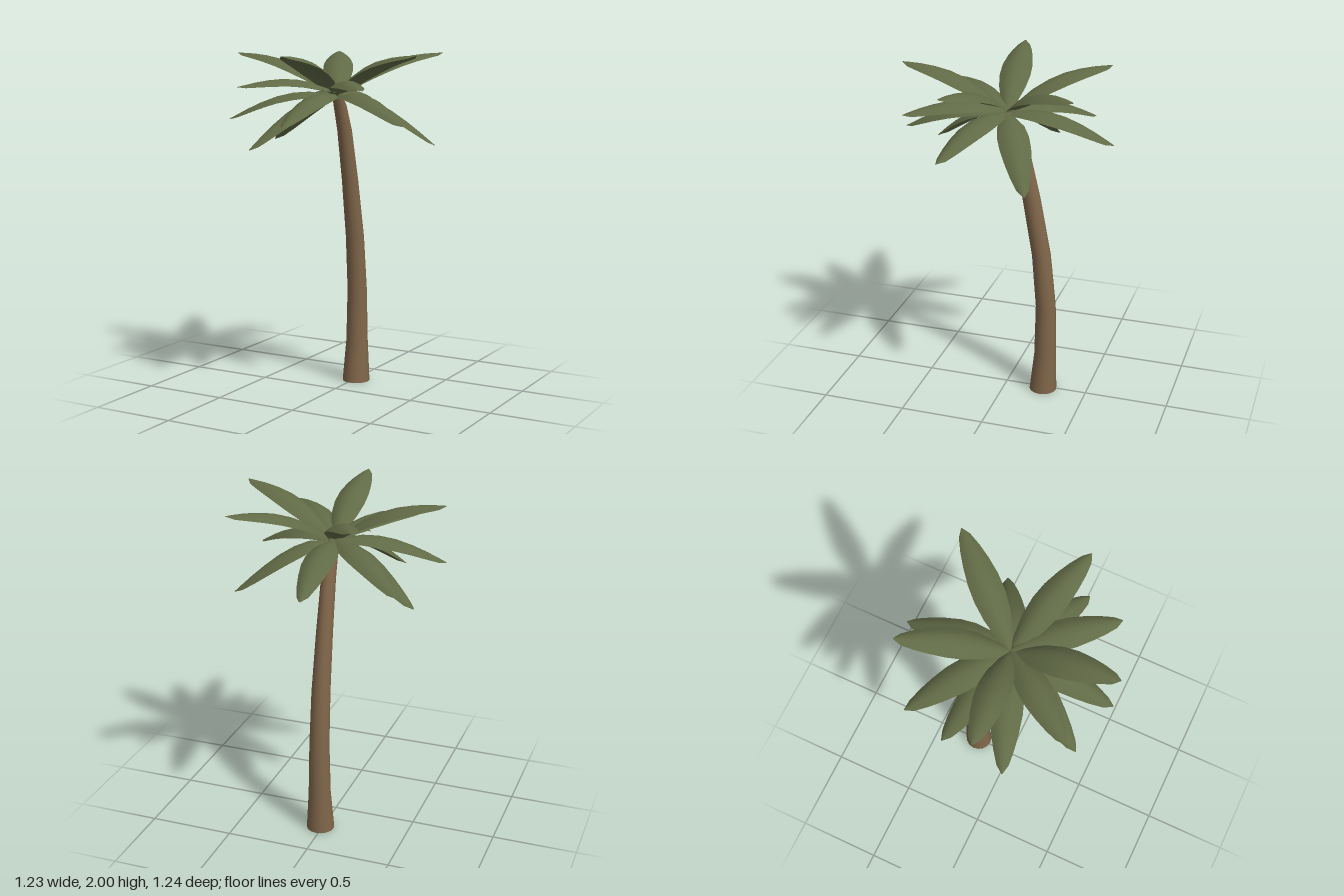
import * as THREE from 'three';
import { mergeVertices } from 'three/addons/utils/BufferGeometryUtils.js';

const bark = new THREE.MeshStandardMaterial({ color: 0x80664a });
bark.name = 'bark brown';
const green = new THREE.MeshStandardMaterial({ color: 0x616a46, side: THREE.DoubleSide });
green.name = 'frond green';

// Weld a deformed grid so its normals are smooth
function smooth(geometry) {
  geometry.deleteAttribute('uv');
  geometry.deleteAttribute('normal');
  const welded = mergeVertices(geometry, 1e-5);
  welded.computeVertexNormals();
  return welded;
}

// Trunk rings from top to bottom: [height, centre z, radius in x, radius in z]
const rings = [
  [1.76, 0.005, 0.03, 0.03],
  [1.7, -0.03, 0.037, 0.043],
  [1.55, -0.085, 0.042, 0.05],
  [1.25, -0.152, 0.048, 0.053],
  [0.9, -0.215, 0.055, 0.056],
  [0.57, -0.246, 0.059, 0.06],
  [0.25, -0.246, 0.066, 0.066],
  [0, -0.235, 0.083, 0.083],
];

function makeTrunk() {
  const sides = 16;
  const geo = new THREE.CylinderGeometry(1, 1, 1, sides, rings.length - 1, true);
  const pos = geo.attributes.position;
  for (let i = 0; i < pos.count; i++) {
    const [y, z, rx, rz] = rings[Math.floor(i / (sides + 1))];
    pos.setXYZ(i, 0.014 + pos.getX(i) * rx, y, z + pos.getZ(i) * rz);
  }
  const trunk = new THREE.Mesh(smooth(geo), bark);
  trunk.name = 'trunk';
  return trunk;
}

// Half width of a frond along its length
const outline = [
  [0, 0.012], [0.1, 0.042], [0.25, 0.077], [0.4, 0.09], [0.55, 0.088],
  [0.7, 0.074], [0.82, 0.056], [0.92, 0.033], [1, 0.003],
];

// An arched frond whose ridge follows a side profile of [reach, height], reach 0 to 1
function makeFrond(tipX, tipZ, profile) {
  const dx = tipX - 0.01, dz = tipZ;
  const length = Math.hypot(dx, dz);
  const ridge = new THREE.SplineCurve(profile.map(([r, y]) => new THREE.Vector2(r * length, y)));
  const across = 6;
  const geo = new THREE.PlaneGeometry(2, 1, across, outline.length - 1);
  const pos = geo.attributes.position;
  for (let i = 0; i < pos.count; i++) {
    const [t, half] = outline[Math.floor(i / (across + 1))];
    const s = pos.getX(i);
    const p = ridge.getPoint(t), tan = ridge.getTangent(t);
    const drop = 0.45 * half * s * s;
    pos.setXYZ(i, s * half, p.y - drop * tan.x, -(p.x + drop * tan.y));
  }
  const frond = new THREE.Mesh(smooth(geo), green);
  frond.rotation.y = Math.atan2(-dx, -dz);
  frond.position.x = 0.01;
  return frond;
}

// Tiers of fronds: side profile and the tips seen from above
const tiers = [
  {
    name: 'raisedFrond',
    profile: [[0, 1.76], [0.25, 1.88], [0.5, 1.955], [0.75, 1.99], [1, 2]],
    tips: [[-0.62, 0.08], [0.61, 0.19], [0.45, -0.5], [-0.275, -0.54], [0.015, 0.62]],
  },
  {
    name: 'levelFrond',
    profile: [[0, 1.78], [0.25, 1.835], [0.5, 1.86], [0.75, 1.85], [1, 1.82]],
    tips: [[-0.36, 0.485], [0.405, 0.475]],
  },
  {
    name: 'droopingFrond',
    profile: [[0, 1.755], [0.25, 1.78], [0.5, 1.76], [0.75, 1.7], [1, 1.615]],
    tips: [[0.01, 0.61], [-0.02, -0.62], [-0.59, 0.23], [0.55, 0.23], [-0.49, -0.4]],
  },
  {
    name: 'hangingFrond',
    profile: [[0, 1.755], [0.25, 1.75], [0.5, 1.69], [0.75, 1.59], [1, 1.47]],
    tips: [[0.52, -0.26], [-0.52, -0.17], [-0.265, 0.52]],
  },
];

export function createModel() {
  const palm = new THREE.Group();
  palm.name = 'palmTree';
  palm.add(makeTrunk());

  // Flat cap under the trunk
  const base = new THREE.Mesh(new THREE.CircleGeometry(0.083, 16), green);
  base.name = 'trunkBase';
  base.rotation.x = Math.PI / 2;
  base.position.set(0.014, 0, -0.235);
  palm.add(base);

  const crown = new THREE.Group();
  crown.name = 'crown';
  for (const { name, profile, tips } of tiers) {
    tips.forEach(([x, z], i) => {
      const frond = makeFrond(x, z, profile);
      frond.name = name + (i + 1);
      crown.add(frond);
    });
  }
  palm.add(crown);
  return palm;
}
